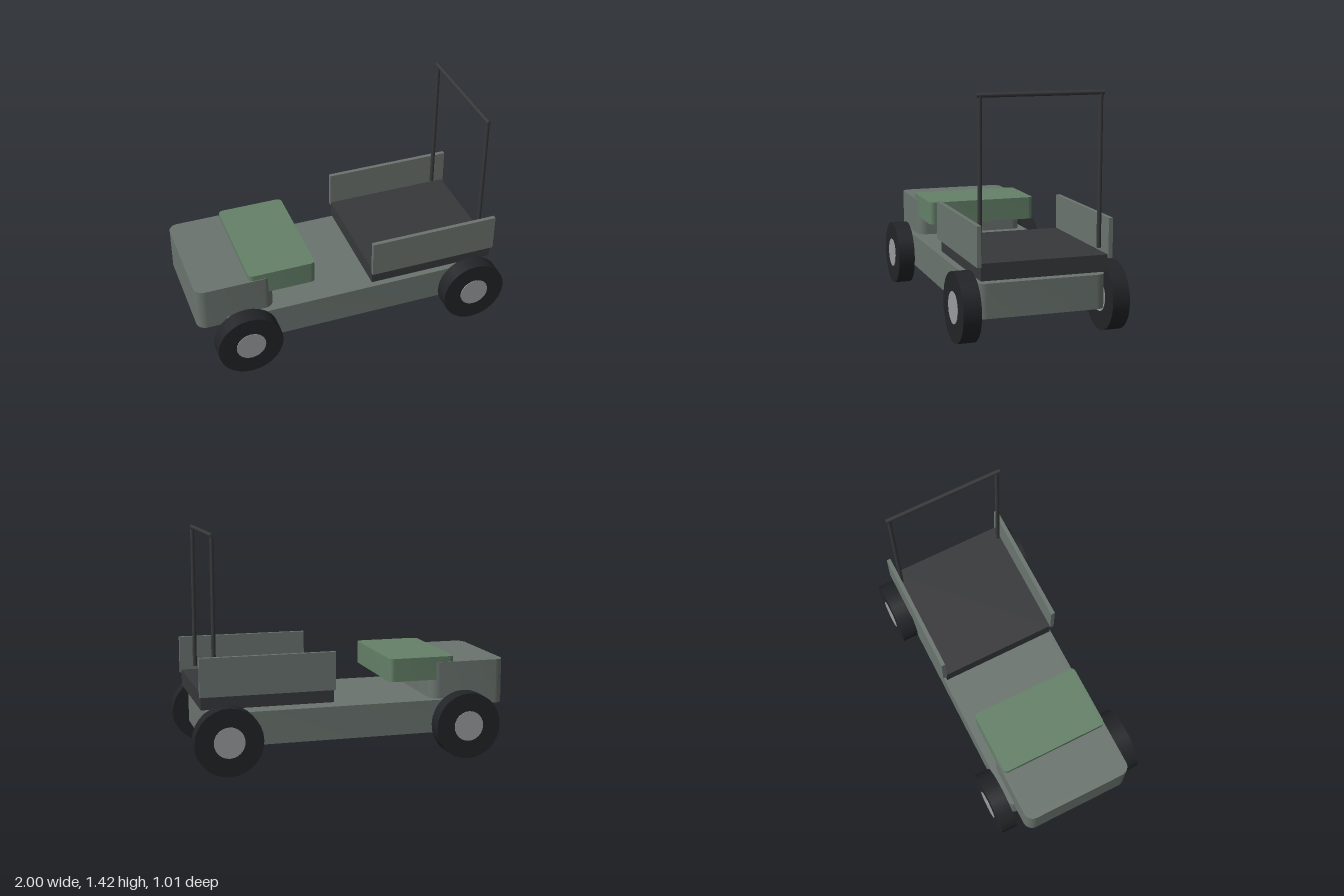
import * as THREE from 'three';
import { toCreasedNormals } from 'three/addons/utils/BufferGeometryUtils.js';

const material = (color) => new THREE.MeshStandardMaterial({ color });

// Slab with rounded vertical edges, given by its x range, y range and half width in z
function roundedSlab(x0, x1, y0, y1, halfZ, r) {
  const s = new THREE.Shape();
  s.moveTo(x0 + r, -halfZ);
  s.lineTo(x1 - r, -halfZ);
  s.absarc(x1 - r, -halfZ + r, r, -Math.PI / 2, 0);
  s.absarc(x1 - r, halfZ - r, r, 0, Math.PI / 2);
  s.absarc(x0 + r, halfZ - r, r, Math.PI / 2, Math.PI);
  s.absarc(x0 + r, -halfZ + r, r, Math.PI, Math.PI * 1.5);
  const g = new THREE.ExtrudeGeometry(s, { depth: y1 - y0, bevelEnabled: false, curveSegments: 8 });
  g.rotateX(-Math.PI / 2);
  g.translate(0, y0, 0);
  return toCreasedNormals(g, 0.6);
}

function box(x0, x1, y0, y1, z0, z1) {
  const g = new THREE.BoxGeometry(x1 - x0, y1 - y0, z1 - z0);
  return g.translate((x0 + x1) / 2, (y0 + y1) / 2, (z0 + z1) / 2);
}

export function createModel() {
  const model = new THREE.Group();
  model.name = 'utilityCart';
  const body = material(0x6b746f);
  const green = material(0x648068);
  const dark = material(0x37383a);
  const rubber = material(0x222427);
  const metal = material(0x999c9f);

  const add = (name, geometry, mat, parent = model) => {
    const mesh = new THREE.Mesh(geometry, mat);
    mesh.name = name;
    parent.add(mesh);
    return mesh;
  };

  // Body
  add('chassis', roundedSlab(-0.825, 0.905, 0.155, 0.36, 0.395, 0.06), body);
  add('hood', roundedSlab(-1, -0.51, 0.31, 0.59, 0.36, 0.06), body);
  add('seat', roundedSlab(-0.665, -0.24, 0.48, 0.625, 0.355, 0.03), green);

  // Cargo bed with a board along each side
  add('cargoBed', box(0.125, 0.94, 0.385, 0.485, -0.382, 0.382), dark);
  add('leftBoard', box(0.12, 0.95, 0.465, 0.7, 0.381, 0.407), body);
  add('rightBoard', box(0.12, 0.95, 0.465, 0.7, -0.407, -0.381), body);

  // Roll bar
  const rollBar = new THREE.Group();
  rollBar.name = 'rollBar';
  model.add(rollBar);
  for (const side of [1, -1]) {
    const post = new THREE.CylinderGeometry(0.013, 0.013, 0.9, 12);
    add(side > 0 ? 'leftPost' : 'rightPost', post, dark, rollBar).position.set(0.855, 0.96, side * 0.361);
  }
  const bar = new THREE.CylinderGeometry(0.013, 0.013, 0.76, 12).rotateX(Math.PI / 2);
  add('crossBar', bar, dark, rollBar).position.set(0.855, 1.41, 0);

  // Wheels
  const tyre = new THREE.CylinderGeometry(0.207, 0.207, 0.106, 28).rotateX(Math.PI / 2);
  const hub = new THREE.CylinderGeometry(0.094, 0.094, 0.113, 24).rotateX(Math.PI / 2);
  for (const x of [-0.71, 0.793]) {
    for (const side of [1, -1]) {
      const wheel = new THREE.Group();
      wheel.name = 'wheel';
      wheel.position.set(x, 0.207, side * 0.447);
      add('tyre', tyre, rubber, wheel);
      add('hub', hub, metal, wheel);
      model.add(wheel);
    }
  }
  return model;
}
